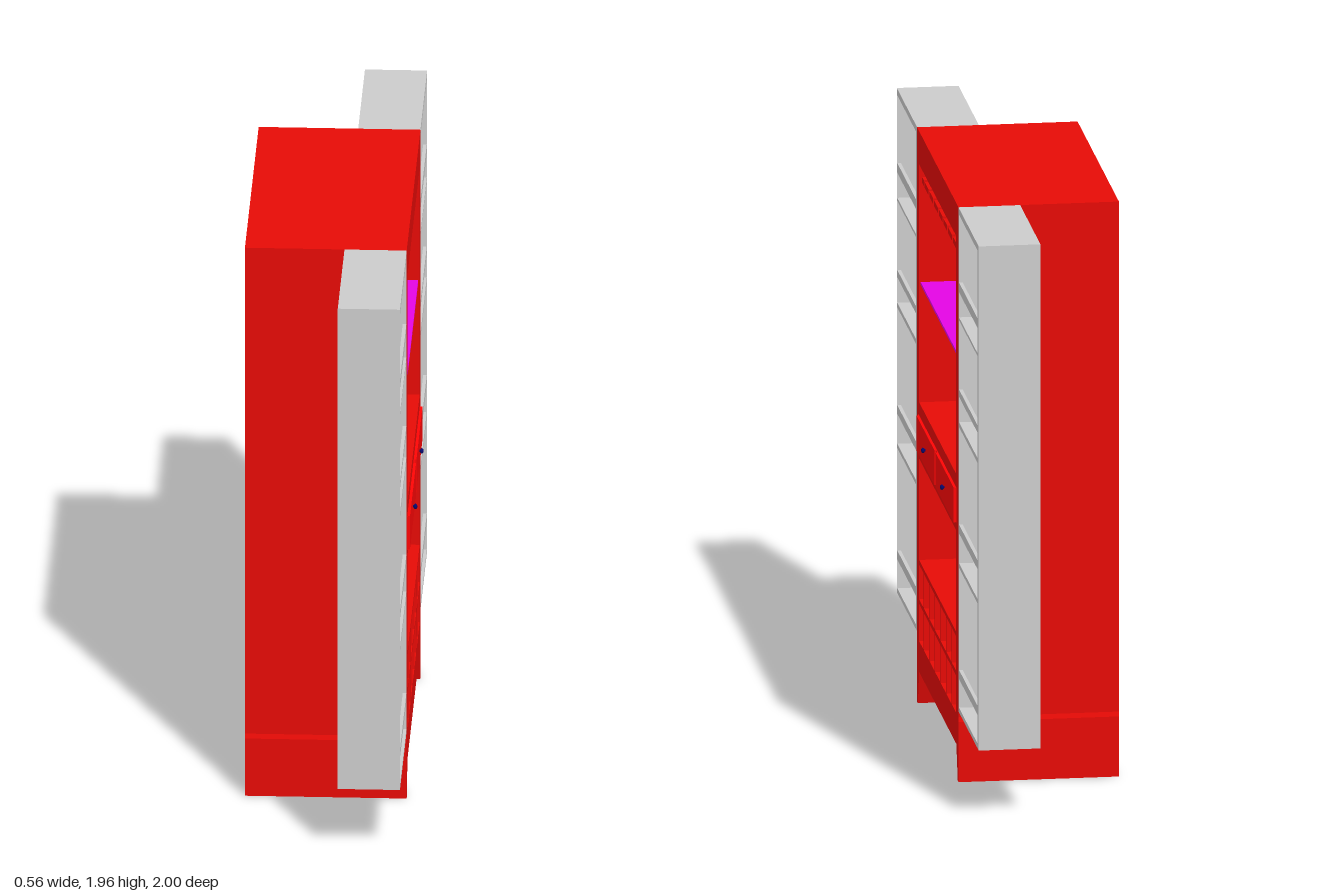
import * as THREE from 'three';

const paint = (color) => new THREE.MeshStandardMaterial({ color });
const red = paint(0xe60b06), brightRed = paint(0xfe0505), blue = paint(0x0a05e6);
const magenta = paint(0xe405e4), navy = paint(0x08086c), grey = paint(0xcccccc);

const BACK = -0.28, FRONT = 0.253;

function mesh(name, geometry, material, parent) {
  const m = new THREE.Mesh(geometry, material);
  m.name = name;
  parent.add(m);
  return m;
}

// Box given by its limits on each axis
function box(name, [x0, x1], [y0, y1], [z0, z1], material, parent) {
  const g = new THREE.BoxGeometry(x1 - x0, y1 - y0, z1 - z0);
  g.translate((x0 + x1) / 2, (y0 + y1) / 2, (z0 + z1) / 2);
  return mesh(name, g, material, parent);
}

// Points in the z-y plane, pushed along x; holes wind opposite to the outline
const toPlane = (points) => points.map(([z, y]) => new THREE.Vector2(-z, y));
const rect = ([z0, z1], [y0, y1]) => [[z0, y0], [z1, y0], [z1, y1], [z0, y1]];

function extrudeX(name, points, holes, [x0, x1], material, parent) {
  const shape = new THREE.Shape(toPlane(points).reverse());
  shape.holes = holes.map((h) => new THREE.Path(toPlane(h)));
  const g = new THREE.ExtrudeGeometry(shape, { depth: x1 - x0, bevelEnabled: false });
  g.rotateY(Math.PI / 2).translate(x0, 0, 0);
  return mesh(name, g, material, parent);
}

function buildCarcass(parent) {
  const inner = [-0.45, 0.455];
  const holes = [rect(inner, [1.035, 1.847]), rect(inner, [0.497, 0.843])];

  // Two rows of seven bottle cubbies
  const half = 0.007;
  const dividers = [-0.337, -0.202, -0.065, 0.071, 0.208, 0.344];
  const edges = [inner[0] - half, ...dividers, inner[1] + half];
  for (const row of [[0.22, 0.347], [0.363, 0.481]]) {
    for (let i = 0; i < 7; i++) {
      holes.push(rect([edges[i] + half, edges[i + 1] - half], row));
    }
  }
  extrudeX('carcass', rect([-0.505, 0.505], [0.2, 1.96]), holes, [BACK + 0.015, FRONT], red, parent);
  box('backPanel', [BACK, BACK + 0.015], [0.2, 1.96], [-0.505, 0.505], red, parent);

  // Base with splayed feet running front to back
  extrudeX('base', [
    [-0.511, 0], [-0.487, 0], [-0.453, 0.115], [0.453, 0.115], [0.487, 0], [0.511, 0],
    [0.511, 0.205], [0.505, 0.22], [-0.505, 0.22], [-0.511, 0.205],
  ], [], [BACK, FRONT], red, parent);
}

function buildInterior(parent) {
  box('mirrorPanel', [BACK + 0.015, BACK + 0.02], [1.035, 1.847], [-0.45, 0.455], blue, parent);
  box('shelf', [BACK + 0.02, FRONT - 0.005], [1.435, 1.445], [-0.45, 0.455], magenta, parent);

  // Stemware slats with narrow slots between them
  for (let i = -4; i <= 4; i++) {
    const z = 0.003 + i * 0.1145;
    const limits = [Math.max(z - 0.046, -0.45), Math.min(z + 0.046, 0.455)];
    box('glassRackSlat', [BACK + 0.02, FRONT - 0.01], [1.783, 1.803], limits, red, parent);
  }
}

function buildDrawers(parent) {
  box('drawerPlate', [FRONT, 0.256], [0.872, 0.99], [-0.46, 0.47], brightRed, parent);
  for (const [side, limits, z] of [['left', [-0.455, -0.012], -0.225], ['right', [0.016, 0.458], 0.238]]) {
    const drawer = new THREE.Group();
    drawer.name = `${side}Drawer`;
    parent.add(drawer);
    box('drawerFront', [0.256, 0.262], [0.872, 0.99], limits, brightRed, drawer);
    const stem = mesh('knobStem', new THREE.CylinderGeometry(0.004, 0.004, 0.01, 12), navy, drawer);
    stem.rotation.z = Math.PI / 2;
    stem.position.set(0.264, 0.93, z);
    const knob = mesh('knob', new THREE.SphereGeometry(0.009, 16, 12), navy, drawer);
    knob.position.set(0.27, 0.93, z);
    knob.scale.x = 0.7;
  }
}

// Open door: shallow tray with shelves, each with a retaining rail
function buildDoor(name, outer, inner, parent) {
  const door = new THREE.Group();
  door.name = name;
  parent.add(door);
  const bays = [[0.256, 0.734], [0.749, 1.214], [1.23, 1.578], [1.588, 1.938]];
  const rails = [[0.354, 0.385], [0.851, 0.881], [1.317, 1.342], [1.674, 1.707]];
  extrudeX('doorFrame', rect(outer, [0.24, 1.96]), bays.map((b) => rect(inner, b)), [0.06, FRONT], grey, door);
  box('doorPanel', [0.048, 0.06], [0.24, 1.96], outer, grey, door);
  for (const r of rails) box('doorRail', [FRONT - 0.012, FRONT], r, inner, grey, door);
}

export function createModel() {
  const model = new THREE.Group();
  model.name = 'barCabinet';
  buildCarcass(model);
  buildInterior(model);
  buildDrawers(model);
  buildDoor('rightDoor', [0.505, 1], [0.529, 0.99], model);
  buildDoor('leftDoor', [-1, -0.505], [-0.973, -0.518], model);
  return model;
}
